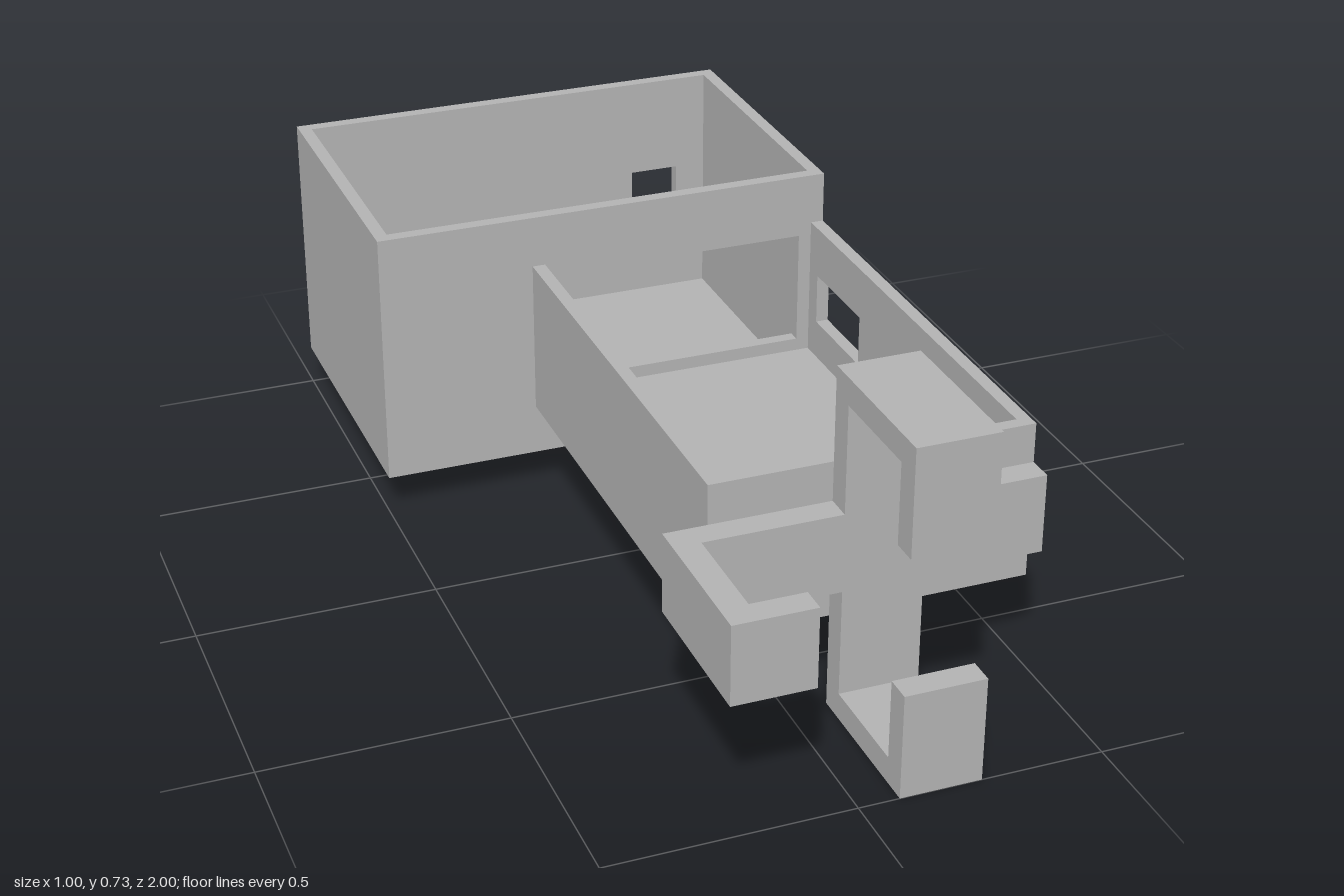
import * as THREE from 'three';

const U = 1 / 36;        // wall thickness
const MID = 0.365;       // shared centre height
const HOOK = 0.055;      // hook strap thickness

export function createModel() {
  const model = new THREE.Group();
  const grey = new THREE.MeshStandardMaterial({ color: 0xb2b2b2 });
  grey.name = 'grey';

  const rect = (a0, a1, b0, b1) => [[a0, b0], [a1, b0], [a1, b1], [a0, b1]];
  const toPoints = (list) => list.map(([a, b]) => new THREE.Vector2(a, b));

  // Extrudes an outline with holes; axis is the extrusion direction, from..to its extent.
  function slab(parent, name, axis, from, to, outline, holes = []) {
    const shape = new THREE.Shape(toPoints(outline));
    holes.forEach((h) => shape.holes.push(new THREE.Path(toPoints(h))));
    const geo = new THREE.ExtrudeGeometry(shape, { depth: to - from, bevelEnabled: false });
    if (axis === 'x') geo.rotateY(-Math.PI / 2).translate(to, 0, 0);      // outline in (z, y)
    else if (axis === 'y') geo.rotateX(Math.PI / 2).translate(0, to, 0);  // outline in (x, z)
    else geo.translate(0, 0, from);                                      // outline in (x, y)
    const mesh = new THREE.Mesh(geo, grey);
    mesh.name = name;
    parent.add(mesh);
  }

  function group(name) {
    const g = new THREE.Group();
    g.name = name;
    model.add(g);
    return g;
  }

  const winLow = 0.31, winHigh = 0.421;
  const joint = -1 / 3;   // where the two trays meet

  // Rear tray: open top, small window at the back, doorway to the front tray
  const rear = group('rearTray');
  const r0 = MID - 10 * U, r1 = MID + 10 * U;
  slab(rear, 'rearFloor', 'y', r0, r0 + U, rect(-0.5, 0.5, -1, joint));
  slab(rear, 'backWall', 'z', -1, -1 + U, rect(-0.5, 0.5, r0 + U, r1),
    [rect(0.292, 0.403, winLow, winHigh)]);
  slab(rear, 'dividingWall', 'z', joint - U, joint, rect(-0.5, 0.5, r0 + U, r1),
    [rect(-0.111, 0.444, MID - 4 * U, MID + 5 * U)]);
  for (const x of [-0.5, 0.5 - U])
    slab(rear, 'rearSideWall', 'x', x, x + U, rect(-1 + U, joint - U, r0 + U, r1));

  // Front tray: narrower, flush with the left side, two windows on that side
  const front = group('frontTray');
  const f0 = MID - 6 * U, f1 = MID + 6 * U, fx = -1 / 6, fz = 2 / 3;
  slab(front, 'frontFloor', 'y', f0, f0 + U, rect(fx, 0.5, joint, fz));
  slab(front, 'frontWall', 'z', fz - U, fz, rect(fx, 0.5, f0 + U, f1));
  slab(front, 'rightWall', 'x', fx, fx + U, rect(joint, fz - U, f0 + U, f1));
  slab(front, 'leftWall', 'x', 0.5 - U, 0.5, rect(joint, fz - U, f0 + U, f1),
    [rect(-0.292, -0.07, winLow, winHigh), rect(0.225, 0.336, winLow, winHigh)]);

  // Cross-shaped bracket with hooks at the top, bottom and right
  const bracket = group('hookBracket');
  const top = 2 * MID, h = HOOK, lip = 0.222, z0 = fz, z1 = fz + h;
  const low = MID - 3 * U, high = MID + 3 * U;
  slab(bracket, 'verticalHooks', 'x', 0.083, 0.25, [
    [z0, 0], [1, 0], [1, lip], [1 - h, lip], [1 - h, h], [z1, h],
    [z1, top - h], [1 - h, top - h], [1 - h, top - lip], [1, top - lip], [1, top], [z0, top],
  ]);
  slab(bracket, 'sideHook', 'y', low, high, [
    [0.083, z0], [0.083, z1], [-0.255 + h, z1], [-0.255 + h, 1 - h],
    [-0.088, 1 - h], [-0.088, 1], [-0.255, 1], [-0.255, z0],
  ]);
  slab(bracket, 'shortArm', 'y', low, high, rect(0.25, 0.5, z0, z1));

  return model;
}
